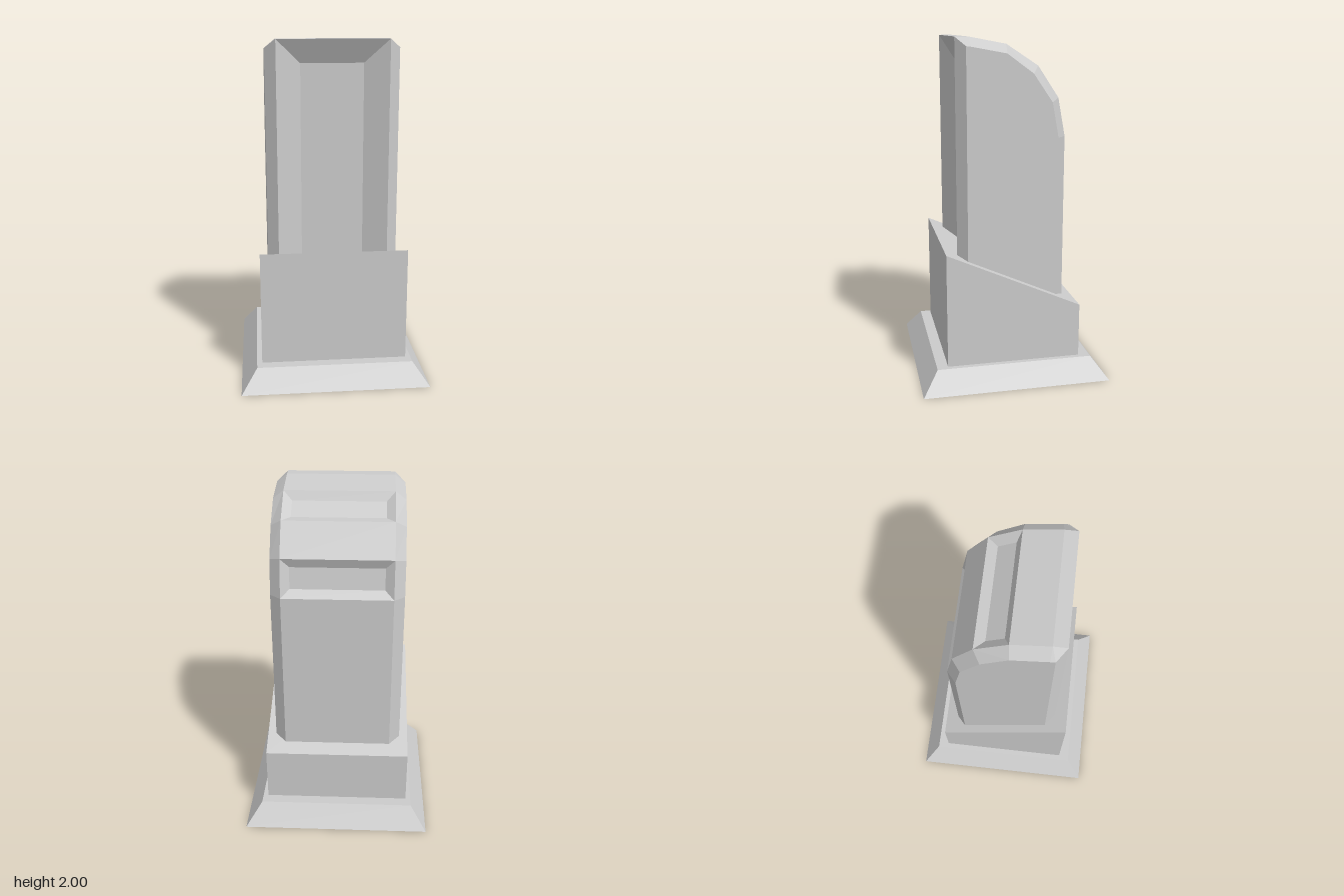
import * as THREE from 'three';

const material = new THREE.MeshStandardMaterial({ color: 0xcccccc, flatShading: true });
const HALF = 0.318; // half width of the tower between its chamfers
const SIDE = 0.38; // half width over the chamfers

// height of the sloping pedestal top; the tower sinks slightly below it
const slopeY = (z) => 0.6225 + 0.449 * z;
const foot = (z) => [z, slopeY(z) - 0.01];

// tower profiles as [z, y], up the front, over the top and down the back
const outer = [foot(0.316), [0.316, 2], [0.24, 2], [0.028, 1.96], [-0.155, 1.84], [-0.275, 1.66], [-0.316, 1.44], foot(-0.316)];
const inner = [foot(0.262), [0.262, 1.95], [0.235, 1.947], [0.035, 1.91], [-0.115, 1.8], [-0.225, 1.64], [-0.262, 1.44], foot(-0.262)];

const at = (x, [z, y]) => [x, y, z];

function polygon(out, pts) {
  for (let i = 1; i < pts.length - 1; i++) out.push(...pts[0], ...pts[i], ...pts[i + 1]);
}

function mirrored(out, pts) {
  polygon(out, pts);
  polygon(out, pts.map(([x, y, z]) => [-x, y, z]).reverse());
}

// four sloping walls leading to a sunken floor
function recess(out, rim, floor) {
  rim.forEach((p, i) => polygon(out, [p, rim[(i + 1) % 4], floor[(i + 1) % 4], floor[i]]));
  polygon(out, floor);
}

const strip = (x, a, b) => [at(-x, a), at(x, a), at(x, b), at(-x, b)];

function add(group, name, geometry) {
  const mesh = new THREE.Mesh(geometry, material);
  mesh.name = name;
  group.add(mesh);
  return mesh;
}

function fromTriangles(positions) {
  const g = new THREE.BufferGeometry();
  g.setAttribute('position', new THREE.Float32BufferAttribute(positions, 3));
  g.computeVertexNormals();
  return g;
}

export function createModel() {
  const model = new THREE.Group();
  model.name = 'monument';

  // flared square plinth
  const plinth = new THREE.CylinderGeometry(0.46 * Math.SQRT2, 0.553 * Math.SQRT2, 0.125, 4).toNonIndexed();
  plinth.rotateY(Math.PI / 4).translate(0, 0.0625, 0);
  plinth.computeVertexNormals();
  add(model, 'plinth', plinth);

  // pedestal with a top sloping down to the back
  const pedestal = new THREE.BoxGeometry(0.86, 1, 0.79);
  const pos = pedestal.attributes.position;
  for (let i = 0; i < pos.count; i++) pos.setY(i, pos.getY(i) > 0 ? slopeY(pos.getZ(i)) : 0.125);
  pedestal.computeVertexNormals();
  add(model, 'pedestal', pedestal);

  // chamfered tower skin, with two facets sunk as vents
  const shell = [];
  const vents = [];
  const inset = 0.05;
  const depth = 0.03;
  for (let i = 0; i < outer.length - 1; i++) {
    const a = outer[i];
    const b = outer[i + 1];
    mirrored(shell, [at(HALF, a), at(SIDE, inner[i]), at(SIDE, inner[i + 1]), at(HALF, b)]);
    if (i === 3 || i === 5) {
      const len = Math.hypot(b[0] - a[0], b[1] - a[1]);
      const dz = (b[0] - a[0]) / len;
      const dy = (b[1] - a[1]) / len;
      const sink = ([z, y], t) => [z + dz * t - dy * depth, y + dy * t + dz * depth];
      recess(vents, strip(HALF, a, b), strip(HALF - inset, sink(a, inset), sink(b, -inset)));
    } else if (i > 0) {
      polygon(shell, strip(HALF, a, b));
    }
  }
  mirrored(shell, inner.map((p) => at(SIDE, p)).reverse());
  add(model, 'tower', fromTriangles(shell));
  add(model, 'backVents', fromTriangles(vents));

  // tall sunken panel filling the front
  const panel = [];
  recess(panel, strip(HALF, outer[0], outer[1]), strip(0.18, foot(0.246), [0.246, 1.865]));
  add(model, 'frontPanel', fromTriangles(panel));

  return model;
}
